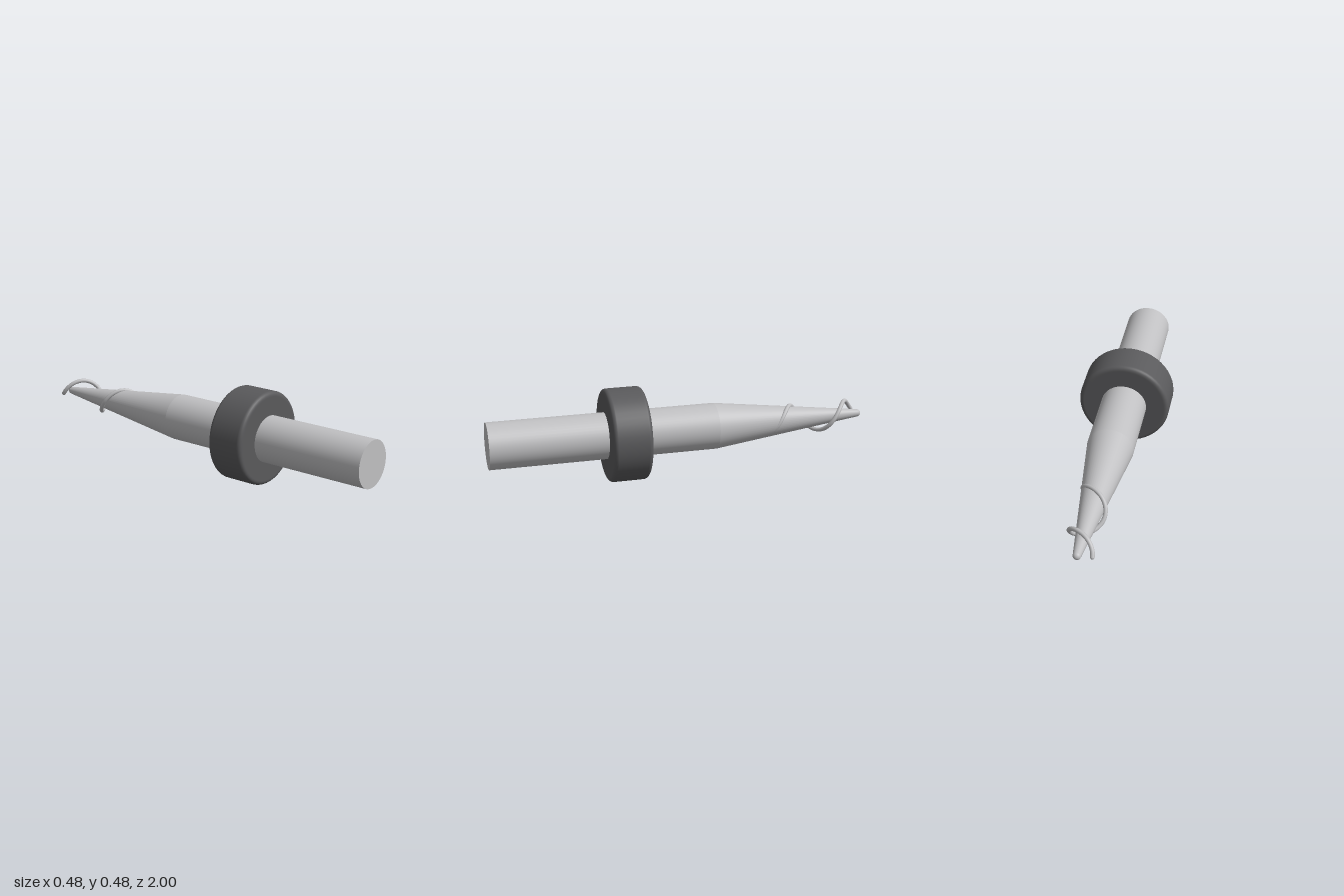
import * as THREE from 'three';

const AXIS_Y = 0.24;

export function createModel() {
  const group = new THREE.Group();
  const steel = new THREE.MeshStandardMaterial({ color: 0xc0c0c2 });
  steel.name = 'steel';
  const rubber = new THREE.MeshStandardMaterial({ color: 0x5a5a5c });
  rubber.name = 'dark rubber';

  // Parts are turned so that their own y axis runs along +z
  const add = (name, geometry, material, z) => {
    const mesh = new THREE.Mesh(geometry, material);
    mesh.name = name;
    mesh.rotation.x = Math.PI / 2;
    mesh.position.set(0, AXIS_Y, z);
    group.add(mesh);
    return mesh;
  };

  // Straight shaft and tapered nose with a ball tip
  add('shaft', new THREE.CylinderGeometry(0.12, 0.12, 1.18, 48), steel, 0.41);
  add('taperedNose', new THREE.CylinderGeometry(0.12, 0.02, 0.8, 48), steel, -0.58);
  add('ballTip', new THREE.SphereGeometry(0.02, 24, 16), steel, -0.98);

  // Collar with rounded outer edges
  const half = 0.1, outer = 0.24, bevel = 0.022;
  const profile = [new THREE.Vector2(0.115, -half), new THREE.Vector2(outer - bevel - 0.004, -half)];
  for (const side of [-1, 1]) {
    for (let i = 0; i <= 6; i++) {
      const a = (side < 0 ? i - 6 : i) / 6 * Math.PI / 2;
      profile.push(new THREE.Vector2(
        outer - bevel + bevel * Math.cos(a),
        side * (half - bevel) + bevel * Math.sin(a)));
    }
  }
  profile.push(new THREE.Vector2(outer - bevel - 0.004, half), new THREE.Vector2(0.115, half));
  add('collar', new THREE.LatheGeometry(profile, 48), rubber, 0.3);

  // Wire coil of constant radius that sinks into the widening nose
  const turns = 1.68, pitch = 0.31, coilRadius = 0.071, wire = 0.011, startZ = -0.977;
  const points = [];
  for (let i = 0; i <= 60; i++) {
    const t = i / 60 * turns;
    const a = t * Math.PI * 2;
    points.push(new THREE.Vector3(
      -coilRadius * Math.cos(a), AXIS_Y + coilRadius * Math.sin(a), startZ + t * pitch));
  }
  const path = new THREE.CatmullRomCurve3(points);
  const coil = new THREE.Mesh(new THREE.TubeGeometry(path, 140, wire, 12), steel);
  coil.name = 'wireCoil';
  group.add(coil);

  // Rounded free end of the wire
  const end = new THREE.Mesh(new THREE.SphereGeometry(wire, 12, 8), steel);
  end.name = 'wireEnd';
  end.position.copy(points[0]);
  group.add(end);

  return group;
}
